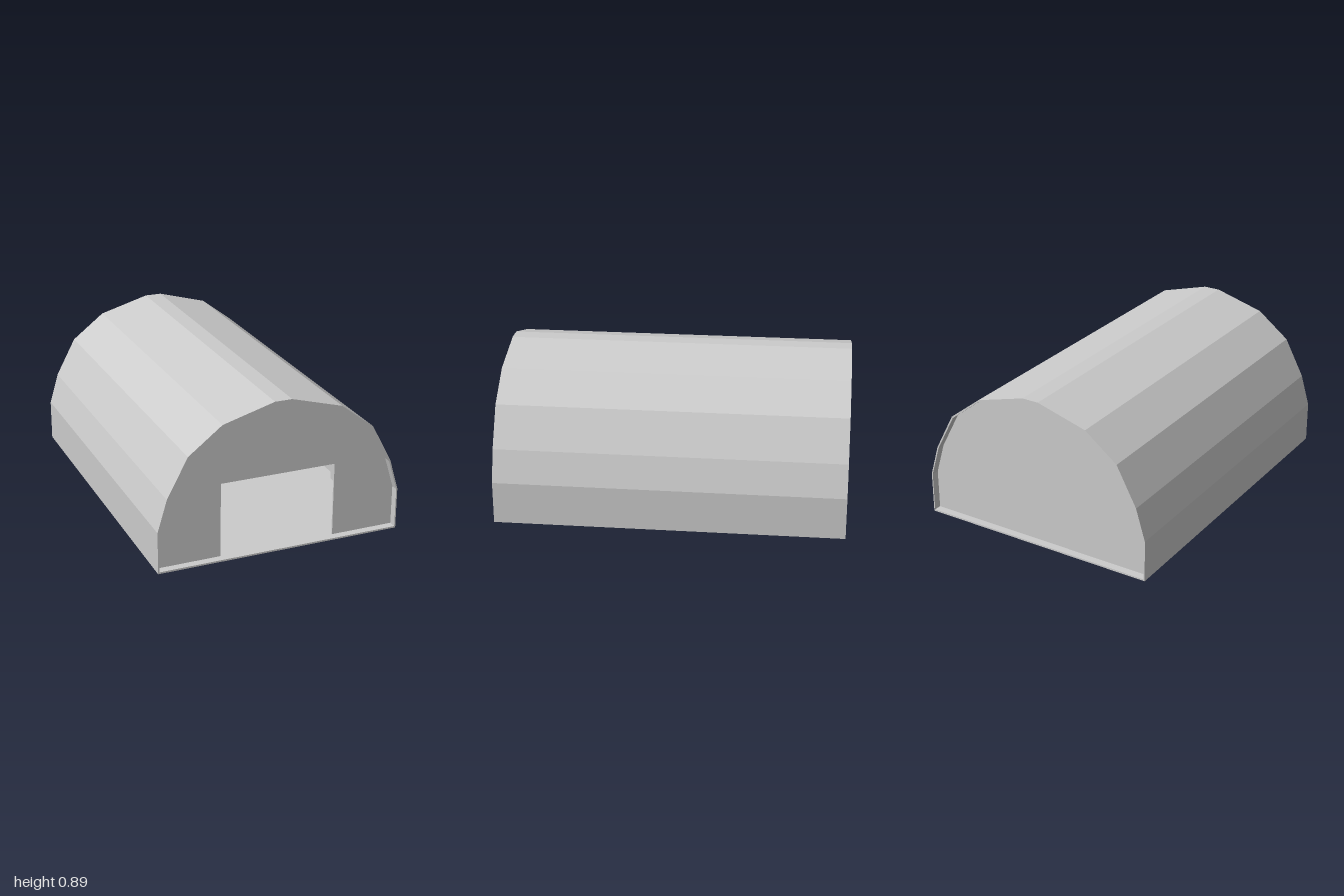
import * as THREE from 'three';

const material = new THREE.MeshStandardMaterial({ color: 0xcccccc, flatShading: true });

// Right half of each arch, from the ground up to the ridge
const OUTER = [[0.72, 0], [0.72, 0.245], [0.665, 0.43], [0.545, 0.655], [0.35, 0.805], [0.05, 0.89]];
const INNER = [[0.713, 0.01], [0.713, 0.243], [0.657, 0.426], [0.538, 0.648], [0.345, 0.798], [0.047, 0.882]];
const RIB = INNER.map(([x, y], i) => [x * 0.937, i === 0 ? y : y * 0.95]);

// Full arch, counter-clockwise from the lower +x corner to the lower -x corner
const arch = (half) => [...half, ...half.map(([x, y]) => [-x, y]).reverse()]
  .map(([x, y]) => new THREE.Vector2(x, y));

function extrude(name, shape, depth, zCentre) {
  const geometry = new THREE.ExtrudeGeometry(shape, { depth, bevelEnabled: false });
  geometry.translate(0, 0, zCentre - depth / 2);
  const mesh = new THREE.Mesh(geometry, material);
  mesh.name = name;
  return mesh;
}

export function createModel() {
  const model = new THREE.Group();
  model.name = 'archedShed';

  // Thin faceted shell together with the floor slab
  const shell = new THREE.Shape(arch(OUTER));
  shell.holes.push(new THREE.Path(arch(INNER).reverse()));
  model.add(extrude('shellAndFloor', shell, 2, 0));

  // Recessed front wall, cut out down to the floor for the doorway
  const doorway = [[-0.34, 0.01], [-0.34, 0.445], [0.34, 0.445], [0.34, 0.01]]
    .map(([x, y]) => new THREE.Vector2(x, y));
  model.add(extrude('frontWall', new THREE.Shape([...arch(INNER), ...doorway]), 0.01, 0.95));

  // Recessed solid back wall
  model.add(extrude('backWall', new THREE.Shape(arch(INNER)), 0.01, -0.95));

  // Structural ribs lining the inside of the shell
  for (const z of [0.31, -0.31]) {
    const rib = new THREE.Shape([...arch(INNER), ...arch(RIB).reverse()]);
    model.add(extrude('archRib', rib, 0.045, z));
  }

  return model;
}
